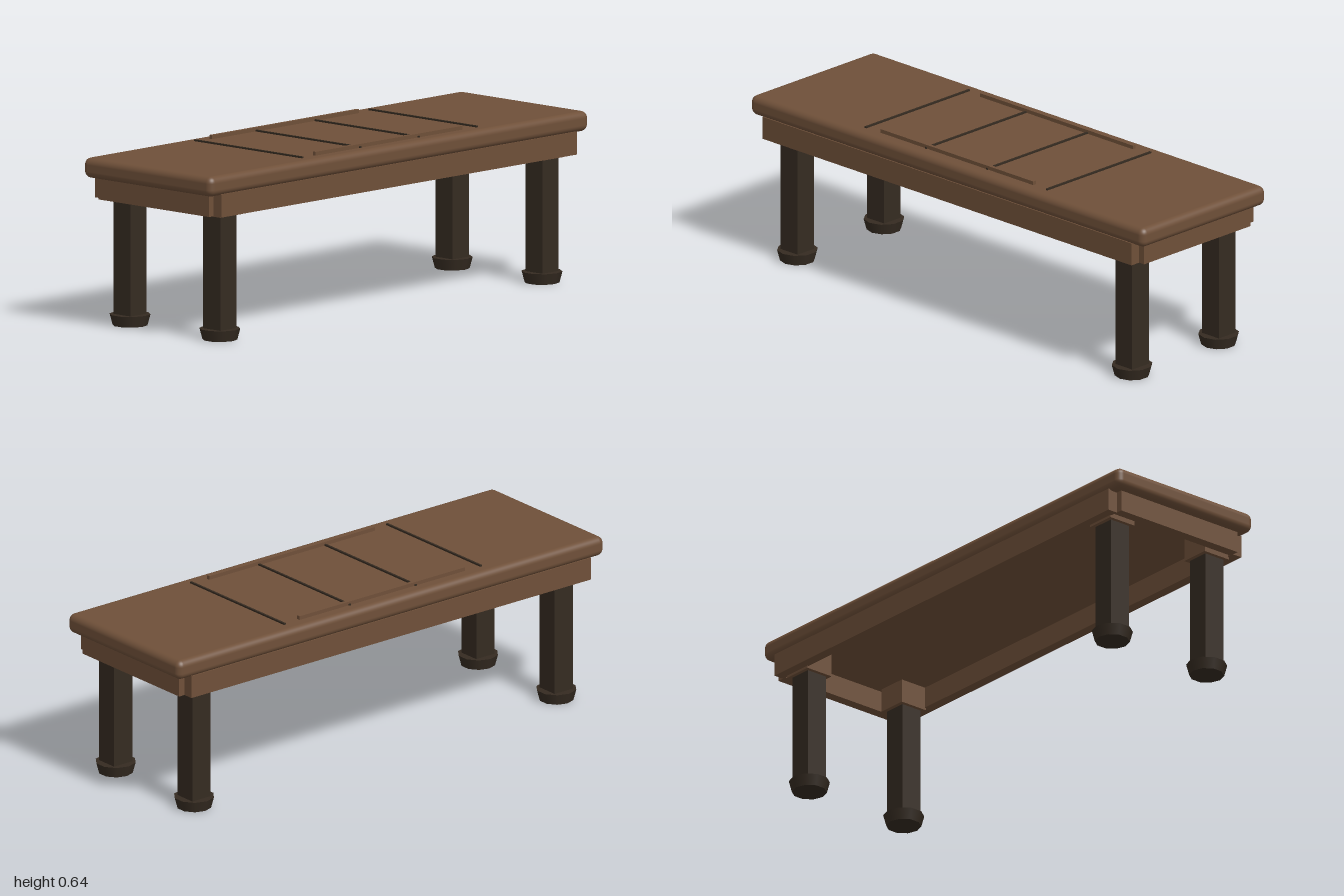
import * as THREE from 'three';
import { RoundedBoxGeometry } from 'three/addons/geometries/RoundedBoxGeometry.js';

export function createModel() {
  const model = new THREE.Group();
  model.name = 'table';

  const wood = new THREE.MeshStandardMaterial({ color: 0x6f5039 });
  wood.name = 'brown wood';
  const dark = new THREE.MeshStandardMaterial({ color: 0x352b21 });
  dark.name = 'dark wood';

  const add = (name, geometry, material, x, y, z) => {
    const mesh = new THREE.Mesh(geometry, material);
    mesh.name = name;
    mesh.position.set(x, y, z);
    model.add(mesh);
    return mesh;
  };
  const box = (name, material, w, h, d, x, y, z) =>
    add(name, new THREE.BoxGeometry(w, h, d), material, x, y, z);

  // Softly rounded top
  add('tableTop', new RoundedBoxGeometry(2, 0.074, 0.644, 4, 0.025), wood, 0, 0.587, 0);

  // Apron rails, leaving a small notch at each corner
  for (const s of [-1, 1]) {
    box('longRail', wood, 1.874, 0.085, 0.04, 0, 0.5125, s * 0.297);
    box('endRail', wood, 0.04, 0.085, 0.554, s * 0.942, 0.5125, 0);
  }

  // Four legs, each with a mounting block and a tapered foot
  for (const sx of [-1, 1]) {
    for (const sz of [-1, 1]) {
      const x = sx * 0.85, z = sz * 0.225;
      box('legBlock', wood, 0.115, 0.09, 0.115, x, 0.506, z);
      box('leg', dark, 0.086, 0.43, 0.086, x, 0.25, z);
      add('foot', new THREE.CylinderGeometry(0.075, 0.064, 0.041, 10), dark, x, 0.0205, z);
    }
  }

  // Thin dark inlay lines across the top
  for (const x of [-0.46, -0.155, 0.155, 0.46]) {
    box('inlayLine', dark, 0.008, 0.006, 0.54, x, 0.627, 0);
  }

  // Two slim raised rails along the middle of the top
  for (const s of [-1, 1]) {
    box('raisedRail', wood, 0.776, 0.014, 0.014, 0, 0.631, s * 0.259);
  }

  return model;
}
